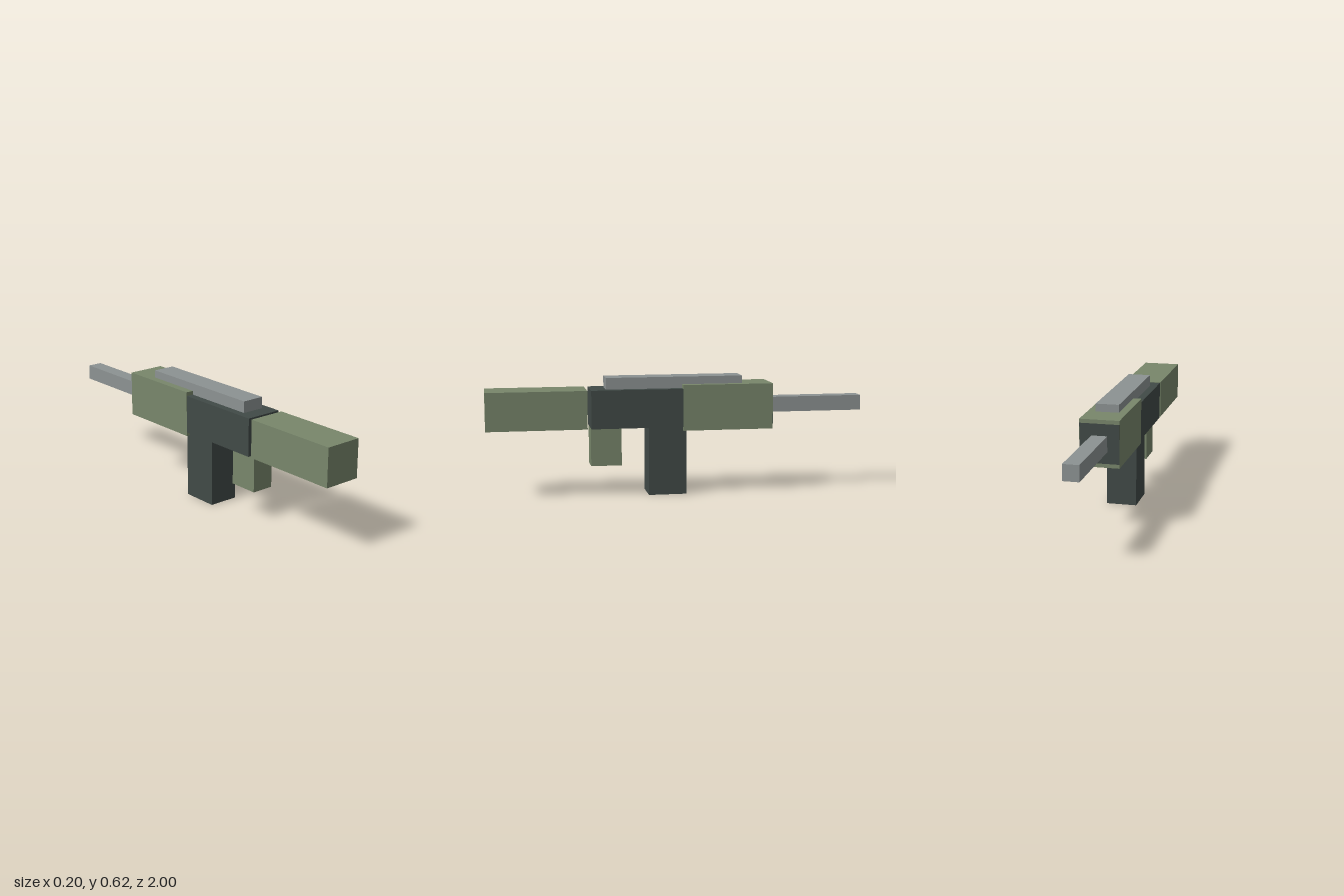
import * as THREE from 'three';

function material(name, color) {
  const m = new THREE.MeshStandardMaterial({ color });
  m.name = name;
  return m;
}

export function createModel() {
  const group = new THREE.Group();
  group.name = 'blockyRifle';

  const green = material('olive green', 0x78866b);
  const dark = material('dark slate', 0x414a47);
  const gray = material('steel gray', 0x8c9292);

  // Box centred on x = 0, given by its width and its y and z ranges
  function block(name, mat, width, [y0, y1], [z0, z1]) {
    const mesh = new THREE.Mesh(new THREE.BoxGeometry(width, y1 - y0, z1 - z0), mat);
    mesh.position.set(0, (y0 + y1) / 2, (z0 + z1) / 2);
    mesh.name = name;
    group.add(mesh);
  }

  // Main body, with the green sleeve a hair wider so its sides cover the body
  block('receiver', dark, 0.2, [0.36, 0.56], [-0.5, 0.46]);
  block('handguard', green, 0.202, [0.34, 0.58], [-0.499, -0.02]);
  block('barrel', gray, 0.08, [0.42, 0.5], [-1, -0.5]);

  // Stock, set apart from the body by a narrow gap
  block('stock', green, 0.2, [0.36, 0.56], [0.48, 1]);

  // Parts above and below the body
  block('topRail', gray, 0.12, [0.56, 0.62], [-0.34, 0.38]);
  block('magazine', dark, 0.16, [0, 0.36], [-0.04, 0.16]);
  block('grip', green, 0.12, [0.16, 0.36], [0.3, 0.46]);

  return group;
}
